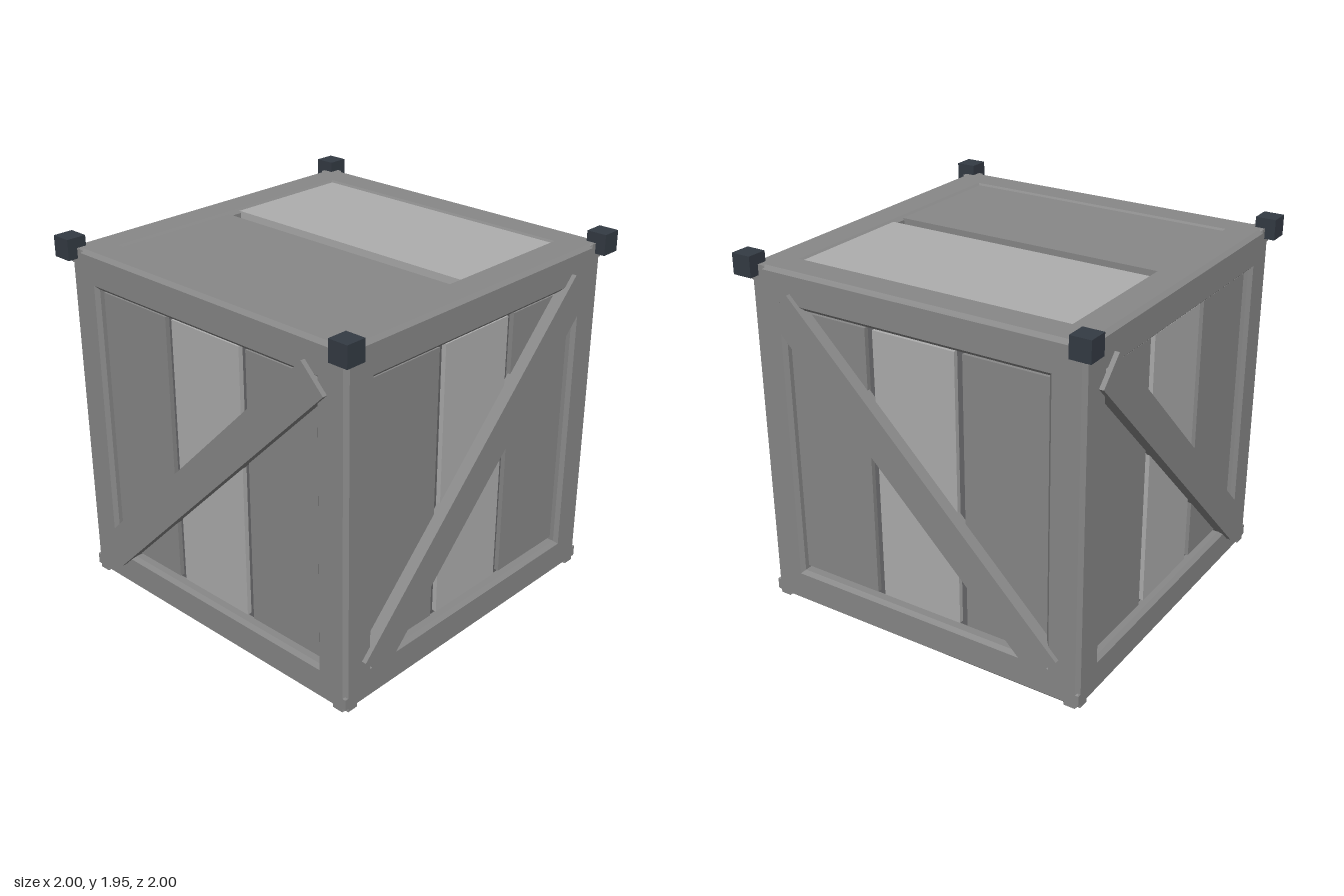
import * as THREE from 'three';

const H = 0.945; // half size of the crate, also the height of its centre

export function createModel() {
  const mat = (name, color) => {
    const m = new THREE.MeshStandardMaterial({ color });
    m.name = name;
    return m;
  };
  const grey = mat('mid grey', 0x888888);
  const light = mat('light grey', 0xaeaeae);
  const inner = mat('dark grey', 0x666668);
  const slate = mat('dark slate', 0x343b44);

  const crate = new THREE.Group();
  crate.name = 'crate';

  const add = (parent, name, geometry, material, x = 0, y = 0, z = 0) => {
    const mesh = new THREE.Mesh(geometry, material);
    mesh.name = name;
    mesh.position.set(x, y, z);
    parent.add(mesh);
    return mesh;
  };
  const box = (w, h, d) => new THREE.BoxGeometry(w, h, d);

  // Square frame with chamfered outer and inner edges, facing +z
  const square = (Type, r) => {
    const s = new Type();
    s.moveTo(-r, -r).lineTo(r, -r).lineTo(r, r).lineTo(-r, r).closePath();
    return s;
  };
  const bevel = 0.02;
  const outline = square(THREE.Shape, H);
  outline.holes.push(square(THREE.Path, 0.755));
  const frameGeometry = new THREE.ExtrudeGeometry(outline, {
    depth: 0.06, bevelEnabled: true, bevelSegments: 1,
    bevelSize: bevel, bevelThickness: bevel, bevelOffset: -bevel,
  });
  frameGeometry.translate(0, 0, H - 0.06 - bevel);

  // One side of the crate, built facing +z and turned into place
  const face = (name, rx, ry) => {
    const g = new THREE.Group();
    g.name = name;
    g.position.y = H;
    g.rotation.set(rx, ry, 0);
    add(g, 'frame', frameGeometry, grey);
    crate.add(g);
    return g;
  };

  // Plank with its outer surface at the given depth
  const plank = (g, x0, x1, h, front) =>
    add(g, 'plank', box(x1 - x0, h, 0.06), x0 + x1 > -0.01 && x0 < 0.1 ? light : grey,
      (x0 + x1) / 2, 0, front - 0.03);

  // Dark inner box seen in the gaps and underneath
  add(crate, 'innerBox', box(1.76, 1.76, 1.76), inner, 0, H, 0);

  // Four sides: three planks and a diagonal brace
  const sides = [['frontSide', 0, 1], ['rightSide', 1, -1], ['backSide', 2, -1], ['leftSide', 3, 1]];
  for (const [name, turn, slope] of sides) {
    const g = face(name, 0, turn * Math.PI / 2);
    plank(g, -0.75, -0.28, 1.47, 0.905);
    plank(g, -0.235, 0.235, 1.47, 0.905);
    plank(g, 0.28, 0.75, 1.47, 0.905).material = grey;
    add(g, 'brace', box(2.165, 0.187, 0.08), grey, 0, 0, 0.93).rotation.z = slope * Math.PI / 4;
  }

  // Lid with two wide planks, and the open-framed underside
  const lid = face('lid', -Math.PI / 2, 0);
  plank(lid, -0.765, -0.04, 1.53, 0.935);
  plank(lid, 0.04, 0.765, 1.53, 0.935);
  face('underside', Math.PI / 2, 0);

  // Corner blocks on top
  for (const x of [-H, H]) {
    for (const z of [-H, H]) add(crate, 'cornerBlock', box(0.11, 0.11, 0.11), slate, x, 2 * H, z);
  }
  return crate;
}
